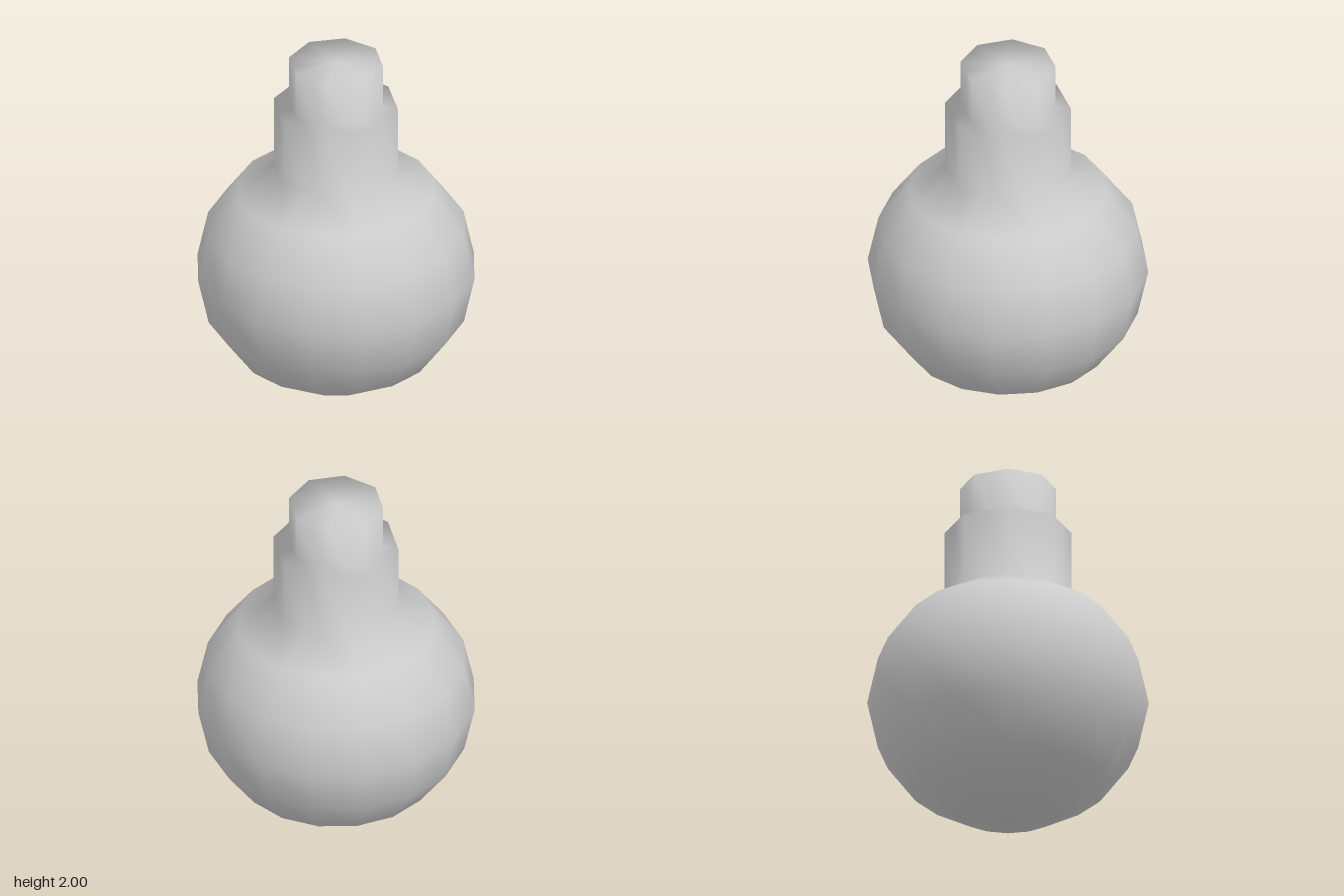
import * as THREE from 'three';
import { mergeVertices } from 'three/addons/utils/BufferGeometryUtils.js';

const SIDES = 16;
const BULB_RADIUS = 0.772, BULB_HALF_HEIGHT = 0.703, BULB_Y = 0.705;
const NECK_RADIUS = 0.347, NECK_TOP = 1.732;
const CAP_RADIUS = 0.262, CAP_TOP = 2;

// Height of the bulb's facet between its two top rings, where the neck meets it
function shoulderY(r) {
  const a = Math.PI / 8, b = Math.PI / 4;
  const t = (r / BULB_RADIUS - Math.sin(a)) / (Math.sin(b) - Math.sin(a));
  return BULB_Y + BULB_HALF_HEIGHT * THREE.MathUtils.lerp(Math.cos(a), Math.cos(b), t);
}

export function createModel() {
  const group = new THREE.Group();
  group.name = 'roundFlask';

  // Profile: flattened ball, then the stepped neck and its closed top
  const profile = [];
  for (let i = 0; i <= 6; i++) {
    const a = (i * Math.PI) / 8;
    profile.push(new THREE.Vector2(BULB_RADIUS * Math.sin(a), BULB_Y - BULB_HALF_HEIGHT * Math.cos(a)));
  }
  const neckStart = profile.length;
  profile.push(
    new THREE.Vector2(NECK_RADIUS, shoulderY(NECK_RADIUS)),
    new THREE.Vector2(NECK_RADIUS, NECK_TOP),
    new THREE.Vector2(CAP_RADIUS, NECK_TOP),
    new THREE.Vector2(CAP_RADIUS, CAP_TOP),
    new THREE.Vector2(0, CAP_TOP)
  );
  let geometry = new THREE.LatheGeometry(profile, SIDES);

  // Make the neck octagonal: every second column moves in to the middle of a side
  const pos = geometry.attributes.position;
  const shrink = Math.cos(Math.PI / 8);
  for (let s = 1; s < SIDES; s += 2) {
    for (let j = neckStart; j < profile.length; j++) {
      const v = s * profile.length + j;
      pos.setX(v, pos.getX(v) * shrink);
      pos.setZ(v, pos.getZ(v) * shrink);
      if (j === neckStart) pos.setY(v, shoulderY(NECK_RADIUS * shrink));
    }
  }

  // Weld the seam and poles so the shading is smooth throughout
  geometry.deleteAttribute('normal');
  geometry.deleteAttribute('uv');
  geometry = mergeVertices(geometry, 1e-4);
  geometry.computeVertexNormals();

  const body = new THREE.Mesh(geometry, new THREE.MeshStandardMaterial({ color: 0xcccccc }));
  body.name = 'bulbWithNeck';
  group.add(body);
  return group;
}
